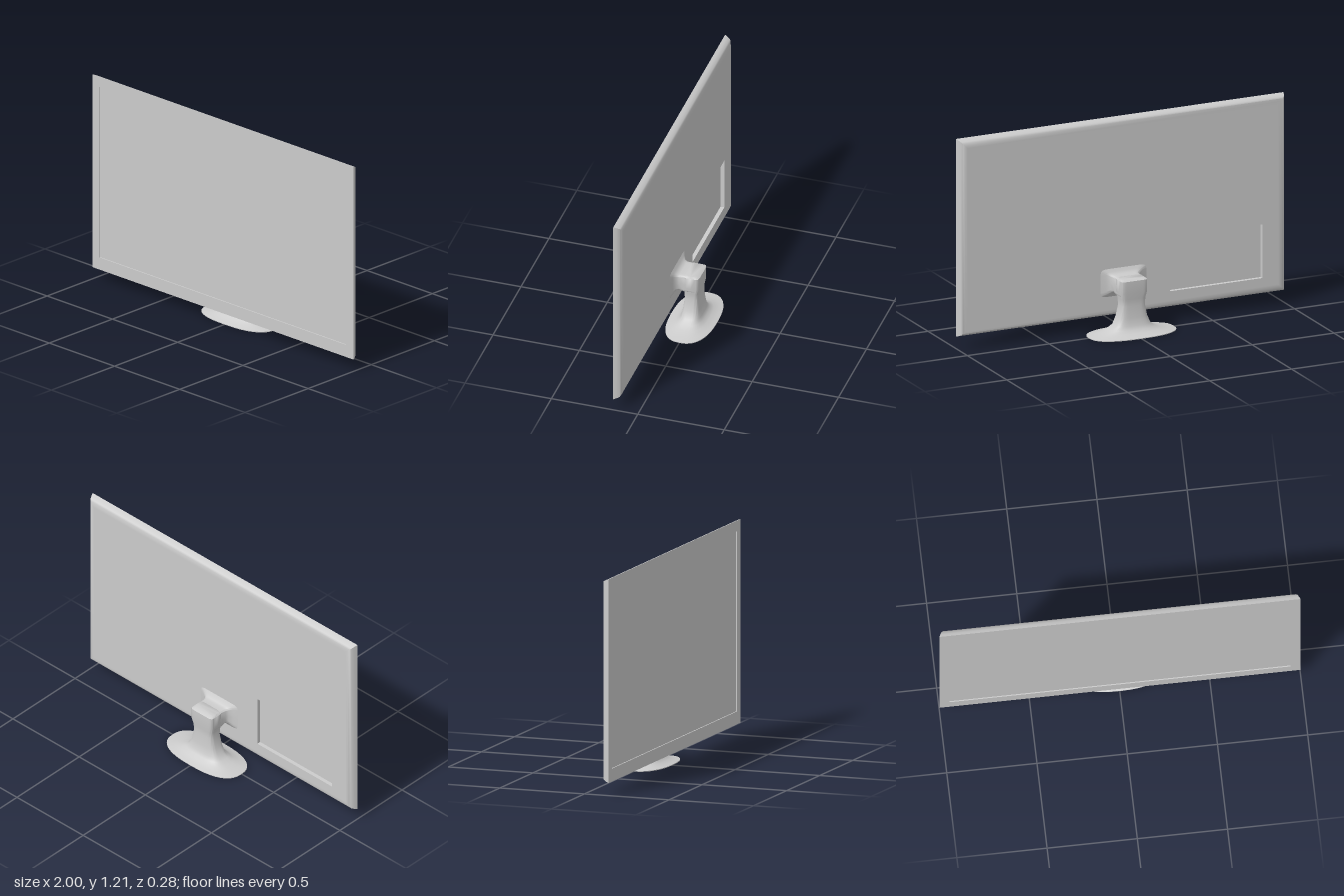
import * as THREE from 'three';
import { toCreasedNormals } from 'three/addons/utils/BufferGeometryUtils.js';

// Skin a list of equal-length closed rings, optionally closing the two ends.
function loft(rings, capStart, capEnd, crease) {
  const n = rings[0].length;
  const pos = rings.flat(2);
  const index = [];
  for (let i = 0; i < rings.length - 1; i++) {
    for (let j = 0; j < n; j++) {
      const a = i * n + j, b = i * n + (j + 1) % n;
      index.push(a, a + n, b, b, a + n, b + n);
    }
  }
  const cap = (ring, flip) => {
    const first = ring * n;
    for (let j = 1; j < n - 1; j++) {
      if (flip) index.push(first, first + j + 1, first + j);
      else index.push(first, first + j, first + j + 1);
    }
  };
  if (capStart) cap(0, false);
  if (capEnd) cap(rings.length - 1, true);
  const geo = new THREE.BufferGeometry();
  geo.setAttribute('position', new THREE.Float32BufferAttribute(pos, 3));
  geo.setIndex(index);
  return toCreasedNormals(geo, crease);
}

// Superellipse outline: power 2 is an ellipse, higher is boxier.
function outline(rx, ry, power, sides = 40) {
  return Array.from({ length: sides }, (_, i) => {
    const t = (i / sides) * Math.PI * 2, c = Math.cos(t), s = Math.sin(t);
    return [
      rx * Math.sign(c) * Math.abs(c) ** (2 / power),
      ry * Math.sign(s) * Math.abs(s) ** (2 / power),
    ];
  });
}

const rect = (x0, x1, y0, y1, z) => [[x0, y0, z], [x1, y0, z], [x1, y1, z], [x0, y1, z]];

export function createModel() {
  const model = new THREE.Group();
  const grey = new THREE.MeshStandardMaterial({ color: 0xcccccc });
  const thin = new THREE.MeshStandardMaterial({ color: 0xcccccc, side: THREE.DoubleSide });
  const add = (name, geo, mat, parent) => {
    const mesh = new THREE.Mesh(geo, mat);
    mesh.name = name;
    parent.add(mesh);
  };

  // Panel: sunken screen, bezel, rounded back edge, back face, connector recess
  const shell = (inset, z) => rect(-1 + inset, 1 - inset, 0.07 + inset, 1.21 - inset, z);
  const screen = (z) => rect(-0.945, 0.945, 0.142, 1.15, z);
  const bay = (z) => rect(-0.85, -0.285, 0.17, 0.48, z);
  add('displayPanel', loft([
    screen(0.136), screen(0.142),
    shell(0, 0.142), shell(0.005, 0.127), shell(0.014, 0.109), shell(0.022, 0.103),
    shell(0.035, 0.098), shell(0.05, 0.098),
    bay(0.098), bay(0.12),
  ], true, true, 0.8), grey, model);

  const stand = new THREE.Group();
  stand.name = 'stand';
  model.add(stand);

  // Column and flared foot, top to bottom: y, half width, back z, front z, power
  const column = [
    [0.318, 0.07, -0.036, 0.03, 7],
    [0.31, 0.08, -0.053, 0.04, 7],
    [0.24, 0.08, -0.053, 0.04, 7],
    [0.205, 0.073, -0.047, 0.037, 6],
    [0.165, 0.071, -0.046, 0.036, 5],
    [0.1, 0.085, -0.053, 0.045, 4],
    [0.055, 0.105, -0.06, 0.053, 3.5],
    [0.035, 0.132, -0.073, 0.067, 3],
    [0.02, 0.17, -0.092, 0.086, 2.7],
    [0.01, 0.22, -0.12, 0.112, 2.5],
    [0.004, 0.26, -0.138, 0.13, 2.5],
    [0, 0.26, -0.138, 0.13, 2.5],
  ];
  add('columnAndFoot', loft(column.map(([y, w, z0, z1, p]) =>
    outline(w, (z1 - z0) / 2, p).map(([u, v]) => [u, y, (z0 + z1) / 2 - v])),
  true, false, 0.9), thin, stand);

  // Arm flaring into the mounting plate, front to back: z, half width, bottom y, top y
  const arm = [
    [0.095, 0.14, 0.19, 0.35],
    [0.086, 0.112, 0.203, 0.335],
    [0.075, 0.09, 0.216, 0.322],
    [0.06, 0.081, 0.223, 0.318],
    [0.035, 0.08, 0.213, 0.318],
    [-0.03, 0.078, 0.213, 0.318],
  ];
  add('mountingArm', loft(arm.map(([z, w, y0, y1]) =>
    outline(w, (y1 - y0) / 2, 9).map(([u, v]) => [u, (y0 + y1) / 2 + v, z])),
  true, true, 0.8), grey, stand);

  return model;
}
